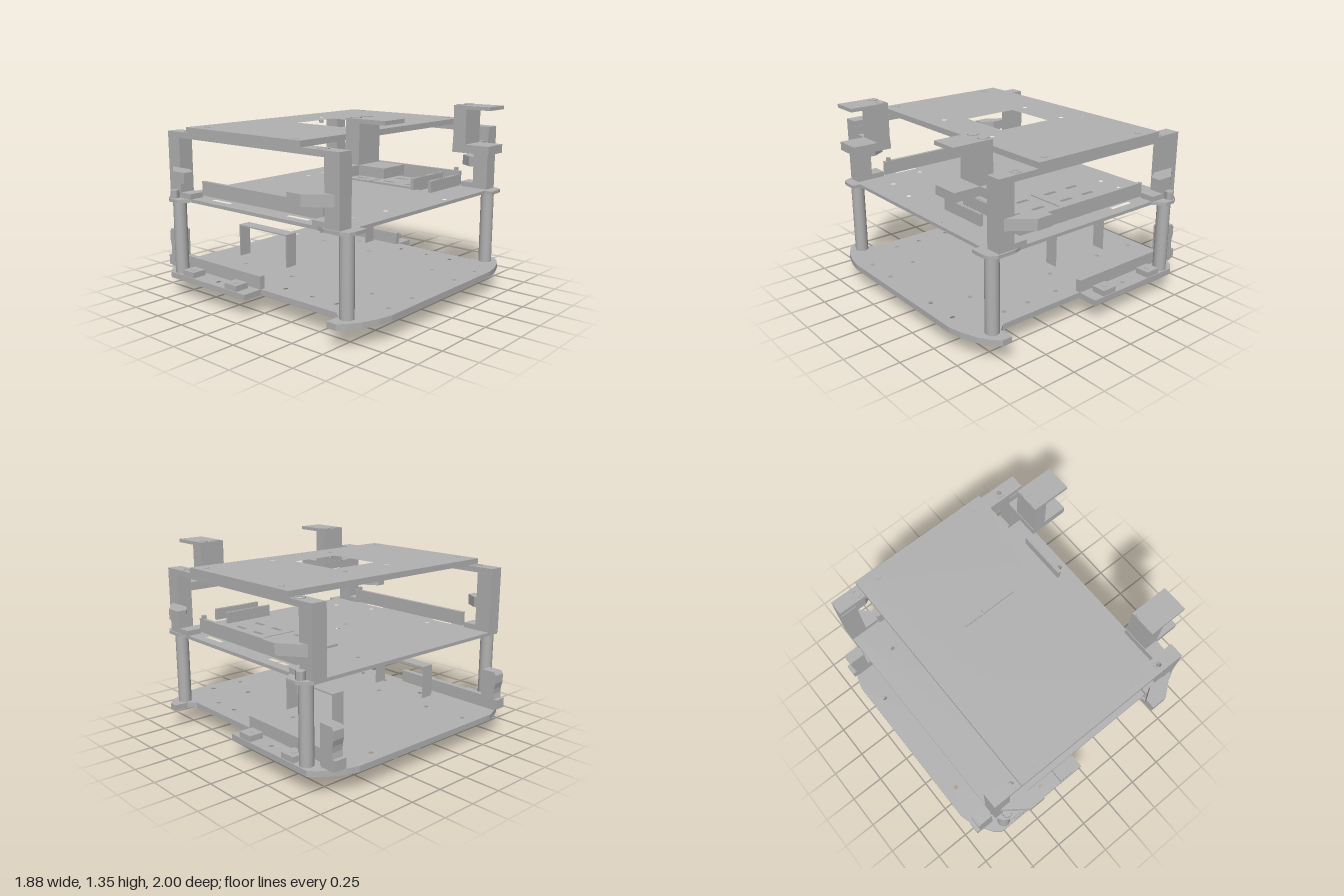
import * as THREE from 'three';

export function createModel() {
  const root = new THREE.Group();
  const grey = new THREE.MeshStandardMaterial({ color: 0xb2b2b2 });
  grey.name = 'grey';

  const add = (name, geo) => {
    const m = new THREE.Mesh(geo, grey);
    m.name = name;
    root.add(m);
    return m;
  };
  // box given by its limits on each axis
  const box = (name, x0, x1, y0, y1, z0, z1) =>
    add(name, new THREE.BoxGeometry(x1 - x0, y1 - y0, Math.abs(z1 - z0))
      .translate((x0 + x1) / 2, (y0 + y1) / 2, (z0 + z1) / 2));
  const post = (name, x, y0, y1, z, r, sides = 28) =>
    add(name, new THREE.CylinderGeometry(r, r, y1 - y0, sides).translate(x, (y0 + y1) / 2, z));
  const circle = (x, y, r) => new THREE.Path().absarc(x, y, r, 0, Math.PI * 2, true);
  const rect = (x0, x1, y0, y1) => new THREE.Path(
    [[x0, y0], [x0, y1], [x1, y1], [x1, y0]].map(p => new THREE.Vector2(...p)));
  const poly = pts => new THREE.Shape(pts.map(p => new THREE.Vector2(...p)));
  // horizontal plate from an (x, z) outline
  const plate = (name, shape, y0, y1, holes = []) => {
    shape.holes.push(...holes);
    return add(name, new THREE.ExtrudeGeometry(shape, { depth: y1 - y0, bevelEnabled: false, curveSegments: 10 })
      .rotateX(Math.PI / 2).translate(0, y1, 0));
  };
  // outline of one half (z > 0), continued by its mirror image
  const mirrored = half => poly([...half, ...half.map(([x, z]) => [x, -z]).reverse()]);
  const pairs = (pts, r) => pts.flatMap(([x, z]) => [circle(x, z, r), circle(x, -z, r)]);

  // bottom plate with rounded corners and side notches
  plate('bottomPlate', mirrored([
    [-0.945, 0.64], [-0.92, 0.72], [-0.88, 0.8], [-0.83, 0.88], [-0.78, 0.92],
    [-0.01, 0.92], [-0.01, 0.77], [0.66, 0.77], [0.71, 0.82], [0.71, 0.92],
    [0.78, 0.92], [0.83, 0.87], [0.88, 0.79], [0.92, 0.68], [0.94, 0.58],
  ]), 0.13, 0.17, [
    ...pairs([[-0.85, 0.45], [-0.3, 0.62], [0.1, 0.65], [0.35, 0.65], [0.55, 0.65], [0.85, 0.5],
      [0.85, 0.25], [0.6, 0.35], [-0.35, 0.85], [-0.53, 0.43], [-0.05, 0.43]], 0.017),
  ]);

  // middle plate with ears over the posts
  plate('middlePlate', mirrored([
    [-0.8, 0.87], [-0.77, 0.92], [-0.72, 0.95], [-0.64, 0.95], [-0.58, 0.87],
    [0.6, 0.87], [0.66, 0.89], [0.79, 0.89], [0.84, 0.86], [0.85, 0.82], [0.85, 0.72], [0.79, 0.72],
  ]), 0.697, 0.72, [
    circle(-0.62, -0.53, 0.016), circle(-0.62, -0.35, 0.016), circle(0.74, -0.27, 0.016),
    circle(0.65, 0.28, 0.016), circle(0.01, 0.05, 0.016), circle(0.07, 0.18, 0.016),
    circle(0.6, 0.57, 0.016),
    ...pairs([[-0.3, 0.68], [0.3, 0.68]], 0.016),
    rect(-0.45, -0.27, 0.77, 0.8), rect(-0.45, -0.27, -0.8, -0.77),
    rect(0.27, 0.45, 0.77, 0.8), rect(0.27, 0.45, -0.8, -0.77),
  ]);

  // top plate with square window
  plate('topPlate', mirrored([[-0.59, 0.885], [0.475, 0.885]]), 1.18, 1.22, [
    rect(-0.215, 0.195, -0.195, 0.19),
    circle(-0.34, -0.2, 0.016), circle(-0.34, 0.19, 0.016),
    circle(0.34, -0.28, 0.016), circle(0.34, 0.27, 0.016),
  ]);

  // hollow feet under the bottom plate
  for (const x of [-0.715, -0.435]) for (const z of [-0.115, 0.115]) {
    const ring = new THREE.Shape().absarc(x, z, 0.043, 0, Math.PI * 2);
    plate('foot', ring, 0, 0.13, [circle(x, z, 0.018)]);
  }

  for (const s of [1, -1]) {
    // posts between bottom and middle plates
    post('leftPost', -0.72, 0.17, 0.697, s * 0.865, 0.047);
    post('rightPost', 0.768, 0.17, 0.697, s * 0.803, 0.047);

    // upper frame: uprights, beam and feet
    box('upright', -0.8, -0.68, 0.72, 1.14, s * 0.77, s * 0.88);
    box('upright', 0.66, 0.775, 0.72, 1.14, s * 0.77, s * 0.88);
    plate('beam', poly([[-0.8, s * 0.775], [0.775, s * 0.775], [0.775, s * 0.88], [-0.8, s * 0.88]]), 1.14, 1.18,
      [circle(-0.63, s * 0.83, 0.018), circle(0.61, s * 0.83, 0.018)]);
    box('frameFoot', -0.68, -0.58, 0.72, 0.757, s * 0.77, s * 0.88);
    box('frameFoot', 0.56, 0.66, 0.72, 0.757, s * 0.77, s * 0.88);
    post('frameNut', -0.72, 0.72, 0.775, s * 0.905, 0.033, 6);
    for (const x of [-0.63, 0.61]) {
      plate('washer', new THREE.Shape().absarc(x, s * 0.83, 0.035, 0, Math.PI * 2), 1.18, 1.185,
        [circle(x, s * 0.83, 0.018)]);
    }
    for (const x of [-0.45, 0.38]) post('screwHead', x, 1.22, 1.224, s * 0.82, 0.019, 16);

    // angled side arms with a bolt on the outer face
    plate('leftArm', poly([[-0.765, 0.875 * s], [-0.6, s], [-0.485, s], [-0.485, 0.93 * s], [-0.58, 0.875 * s]]), 0.857, 0.932);
    plate('rightArm', poly([[0.745, 0.875 * s], [0.585, s], [0.47, s], [0.47, 0.93 * s], [0.56, 0.875 * s]]), 0.857, 0.932);
    for (const x of [-0.54, 0.52]) {
      add('armBolt', new THREE.CylinderGeometry(0.02, 0.02, 0.004, 16).rotateX(Math.PI / 2).translate(x, 0.893, s * 0.998));
    }

    // side bar standing on the middle plate
    box('sideBar', -0.575, 0.555, 0.735, 0.835, s * 0.75, s * 0.777);
    box('sideBarTab', 0.505, 0.53, 0.835, 0.86, s * 0.75, s * 0.777);

    // bracket shaped like a C, joined to the upright
    box('bracketWall', 0.655, 0.755, 1.08, 1.325, s * 0.49, s * 0.68);
    box('bracketTop', 0.655, 0.94, 1.325, 1.35, s * 0.49, s * 0.68);
    box('bracketShelf', 0.65, 0.94, 1.02, 1.08, s * 0.49, s * 0.68);
    box('bracketArm', 0.65, 0.755, 1.02, 1.08, s * 0.68, s * 0.77);
    for (const z of [0.53, 0.63]) post('bracketNut', 0.69, 1.35, 1.354, s * z, 0.034, 6);

    // rail and mounting blocks on the bottom plate
    box('rail', -0.8, -0.01, 0.17, 0.26, s * 0.735, s * 0.775);
    for (const x of [-0.65, -0.21]) {
      box('railBlock', x, x + 0.115, 0.17, 0.21, s * 0.81, s * 0.915);
      post('blockBolt', x + 0.057, 0.21, 0.213, s * 0.862, 0.018, 16);
    }

    // curved corner holder
    const profile = poly([
      [-0.79, 0.18], [-0.79, 0.452], [-0.895, 0.452], [-0.91, 0.43], [-0.91, 0.37],
      [-0.9, 0.33], [-0.897, 0.29], [-0.903, 0.25], [-0.93, 0.25], [-0.93, 0.18],
    ]);
    add('cornerHolder', new THREE.ExtrudeGeometry(profile, { depth: 0.085, bevelEnabled: false })
      .translate(0, 0, s > 0 ? 0.735 : -0.82));
    box('holderFoot', -0.9, -0.8, 0.17, 0.18, s * 0.735, s * 0.82);

    // thin strap bent into an arch
    box('strapTop', -0.53, -0.05, 0.47, 0.48, s * 0.39, s * 0.485);
    box('strapLeg', -0.53, -0.522, 0.245, 0.47, s * 0.39, s * 0.485);
    box('strapLeg', -0.058, -0.05, 0.245, 0.47, s * 0.39, s * 0.485);
  }

  // slotted boards on the middle plate
  for (const x of [-0.4, 0.055]) {
    const board = poly([[x, -0.61], [x + 0.44, -0.61], [x + 0.44, -0.32], [x, -0.32]]);
    const slots = [0.07, 0.27].flatMap(d => [-0.56, -0.4].map(z => rect(x + d, x + d + 0.1, z, z + 0.03)));
    plate('slottedBoard', board, 0.745, 0.76, slots);
  }
  // pin header strips
  for (const x of [0.505, 0.652]) {
    box('pinHeader', x, x + 0.024, 0.77, 0.85, -0.57, -0.195);
    for (let i = 0; i < 16; i++) {
      const z = -0.56 + i * 0.0235;
      box('headerSocket', x + 0.006, x + 0.018, 0.85, 0.852, z, z + 0.012);
    }
  }
  return root;
}
